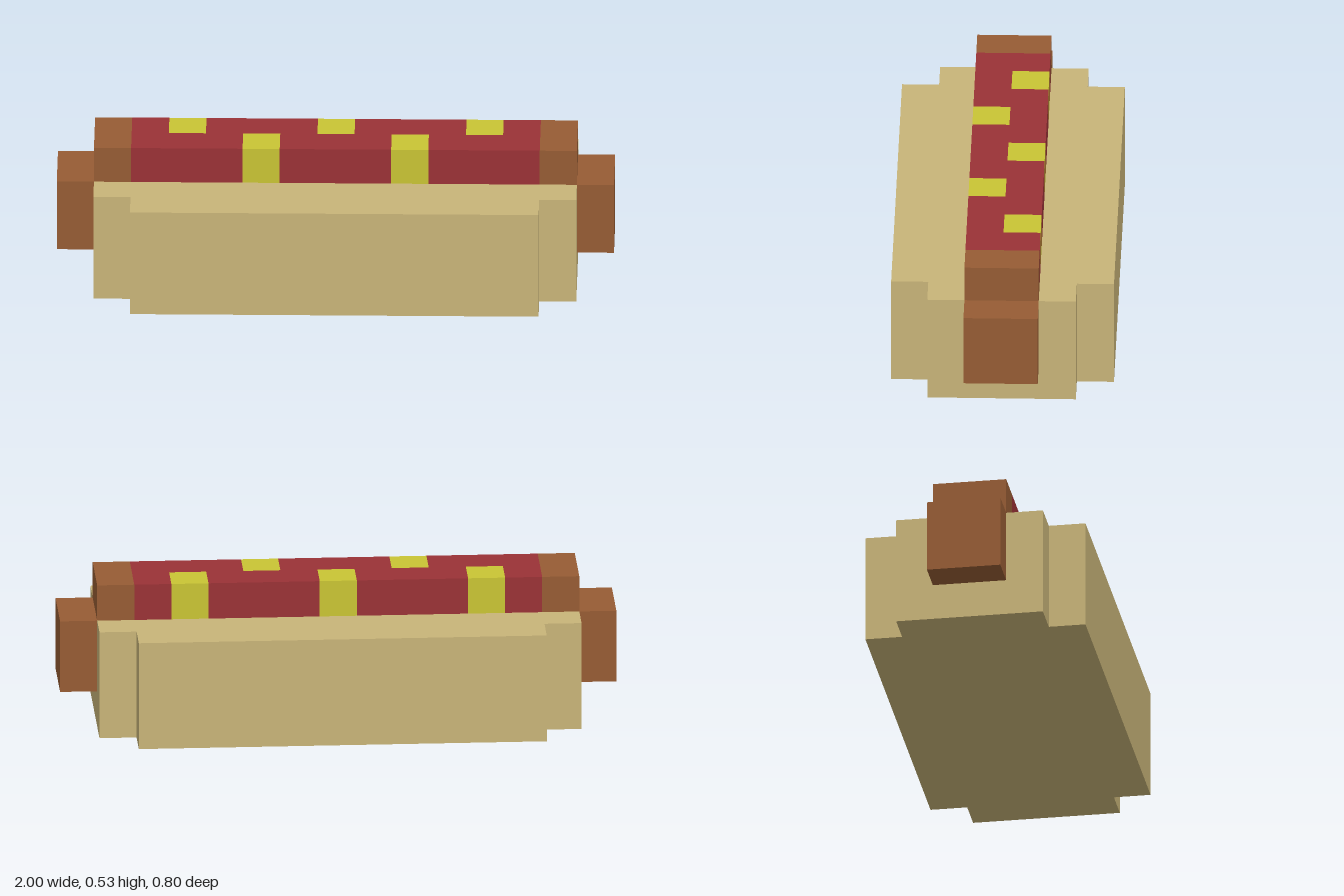
import * as THREE from 'three';

const U = 2 / 15; // one block
const mat = (name, color) => {
  const m = new THREE.MeshStandardMaterial({ color });
  m.name = name;
  return m;
};

export function createModel() {
  const model = new THREE.Group();
  model.name = 'hotDog';
  const bread = mat('bread', 0xc8b478);
  const browned = mat('brownedSausage', 0x965c34);
  const red = mat('redSausage', 0x9a3236);
  const mustard = mat('mustard', 0xc9c434);

  // Box from its limits in blocks
  const block = (name, material, x0, x1, y0, y1, z0, z1) => {
    const mesh = new THREE.Mesh(
      new THREE.BoxGeometry((x1 - x0) * U, (y1 - y0) * U, (z1 - z0) * U), material);
    mesh.position.set((x0 + x1) * U / 2, (y0 + y1) * U / 2, (z0 + z1) * U / 2);
    mesh.name = name;
    model.add(mesh);
  };

  // Bun: a rectangle with notched corners, extruded upwards
  const outline = [
    [5.5, -3], [5.5, -2], [6.5, -2], [6.5, 2], [5.5, 2], [5.5, 3],
    [-5.5, 3], [-5.5, 2], [-6.5, 2], [-6.5, -2], [-5.5, -2], [-5.5, -3],
  ].map(([x, z]) => new THREE.Vector2(x * U, z * U));
  const bunGeometry = new THREE.ExtrudeGeometry(new THREE.Shape(outline),
    { depth: 3 * U, bevelEnabled: false }).rotateX(-Math.PI / 2);
  const bun = new THREE.Mesh(bunGeometry, bread);
  bun.name = 'bun';
  model.add(bun);

  // Sausage tips and the browned ends of its top
  block('leftSausageTip', browned, 6.5, 7.5, 1, 3, -1, 1);
  block('rightSausageTip', browned, -7.5, -6.5, 1, 3, -1, 1);
  block('leftSausageEnd', browned, 5.5, 6.5, 3, 4, -1, 1);
  block('rightSausageEnd', browned, -6.5, -5.5, 3, 4, -1, 1);

  // Two rows of red sausage, interrupted by a mustard zigzag
  const rows = [
    { side: 'back', z: -1, dabs: [-4, 0, 4] },
    { side: 'front', z: 0, dabs: [-2, 2] },
  ];
  for (const { side, z, dabs } of rows) {
    let start = -5.5;
    for (const x of dabs) {
      block(side + 'Sausage', red, start, x - 0.5, 3, 4, z, z + 1);
      block(side + 'Mustard', mustard, x - 0.5, x + 0.5, 3, 4, z, z + 1);
      start = x + 0.5;
    }
    block(side + 'Sausage', red, start, 5.5, 3, 4, z, z + 1);
  }
  return model;
}
